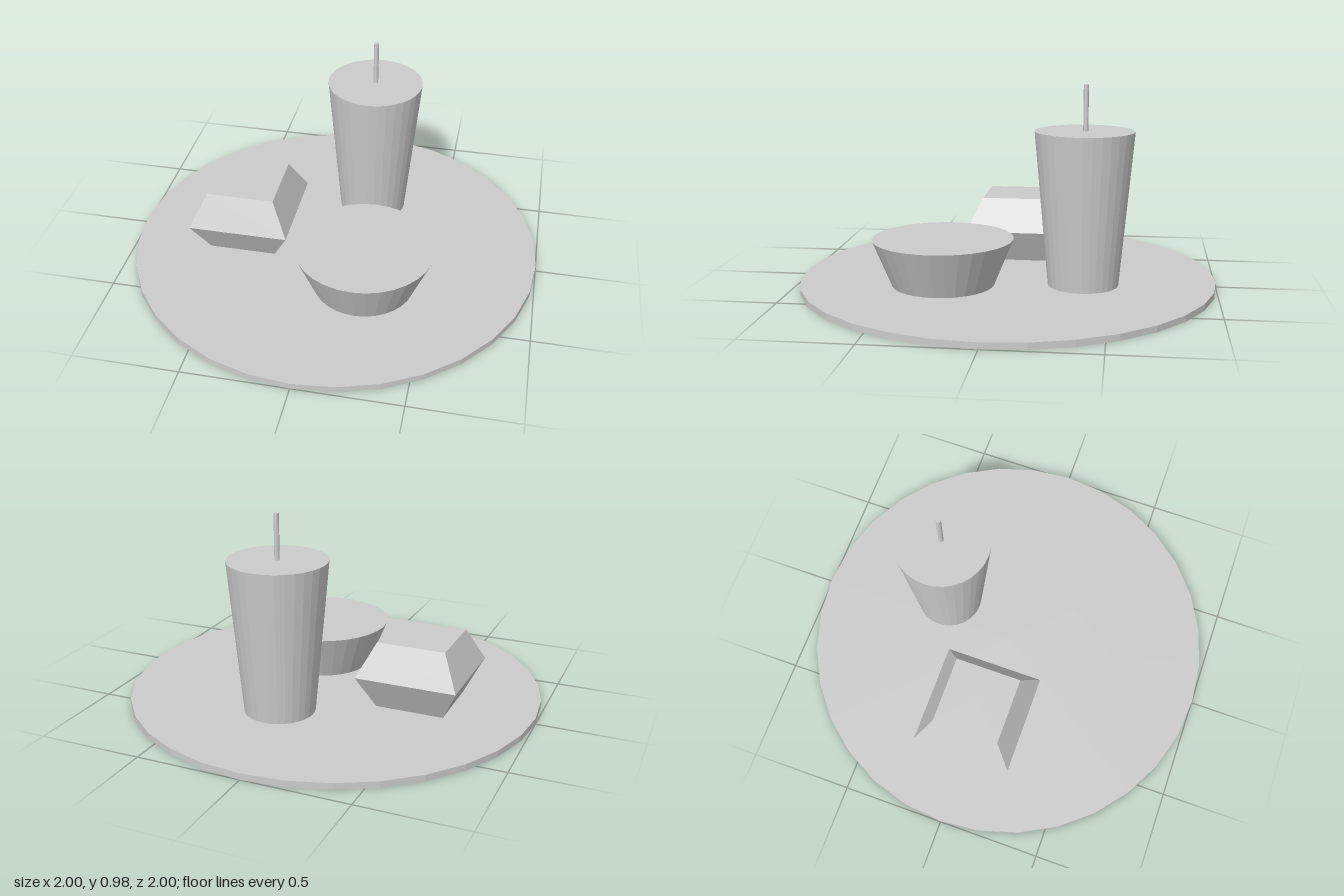
import * as THREE from 'three';

const material = new THREE.MeshStandardMaterial({ color: 0xcccccc, flatShading: true });

// Closed solid of revolution from [radius, y] pairs, bottom to top
function turned(name, profile, x, z, sides = 32, startAngle = 0) {
  const rings = [[0, profile[0][1]], ...profile, [0, profile[profile.length - 1][1]]];
  const points = rings.map(([r, y]) => new THREE.Vector2(r, y));
  const mesh = new THREE.Mesh(new THREE.LatheGeometry(points, sides, startAngle), material);
  mesh.name = name;
  mesh.position.set(x, 0, z);
  return mesh;
}

export function createModel() {
  const group = new THREE.Group();
  group.name = 'mealTray';
  const top = 0.03; // tray surface

  // Round tray
  group.add(turned('tray', [[1, 0], [1, top]], 0, 0));

  // Tapered drink cup with straw
  const drink = new THREE.Group();
  drink.name = 'drink';
  drink.add(turned('cup', [[0.167, top], [0.233, 0.76]], 0.124, -0.372));
  drink.add(turned('straw', [[0.012, 0.76], [0.012, 0.975]], 0.124, -0.376, 16));
  group.add(drink);

  // Shallow bowl with a flat top
  group.add(turned('bowl', [[0.242, top], [0.334, 0.252]], 0.194, 0.285));

  // Square food box, widest at its middle seam
  const corner = Math.SQRT2;
  group.add(turned('foodBox',
    [[0.164 * corner, top], [0.243 * corner, 0.19], [0.164 * corner, 0.352]],
    -0.443, -0.003, 4, Math.PI / 4));

  return group;
}
